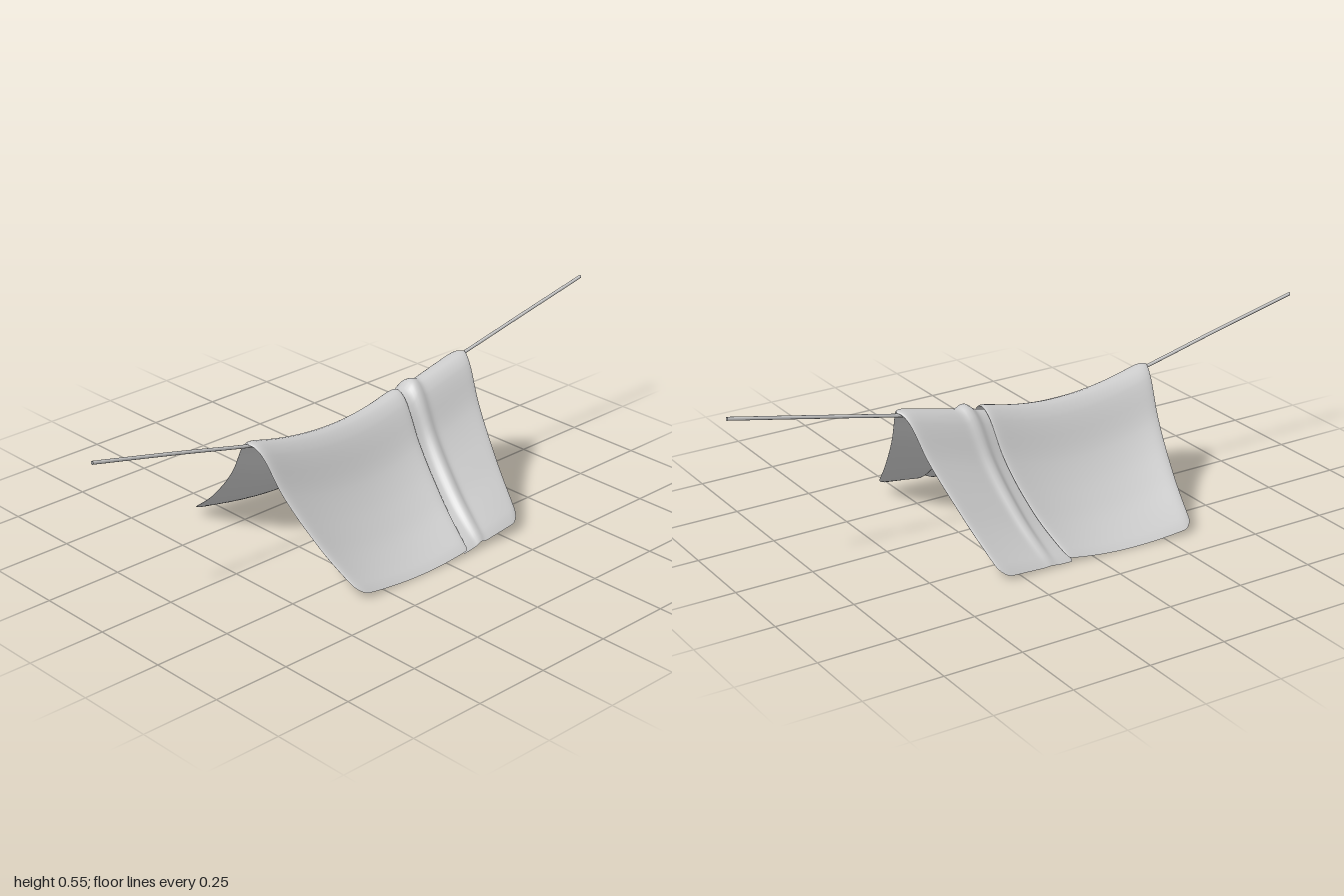
import * as THREE from 'three';

const V = (x, y, z = 0) => new THREE.Vector3(x, y, z);
const material = new THREE.MeshStandardMaterial({ color: 0xcccccc, side: THREE.DoubleSide });
const HEM = 0.37;

// Half cross-section of the hanging cloth, from ridge to hem
const drape = new THREE.CatmullRomCurve3([
  V(0, 0.365), V(0.018, 0.357), V(0.045, 0.328), V(0.1, 0.228), V(0.15, 0.163),
  V(0.2, 0.112), V(0.25, 0.07), V(0.31, 0.034), V(HEM, 0.007),
]);

const mix = THREE.MathUtils.lerp;

// Closed thin cloth; each end runs from a ridge z to a hem z
function cloth(name, o) {
  const nu = 64, nv = 56, half = 0.005;

  // Middle surface: s runs across (-1..1), v runs from front to back (0..1)
  const point = (s, v) => {
    const ridgeZ = mix(o.front[0], o.back[0], v);
    const eFront = o.front[0] - ridgeZ, eBack = ridgeZ - o.back[0];
    // Rounded corners shorten the cloth near its ends
    const pull = (e, r) => (e < r ? r - Math.sqrt(r * r - (r - e) ** 2) : 0);
    const trim = pull(eFront, o.corner[0]) + pull(eBack, o.corner[1]);
    const a = Math.min(1, Math.abs(s) * (1 - trim * 1.5));
    const p = drape.getPoint(a);
    const u = p.x / HEM;
    const z = mix(mix(o.front[0], o.front[1], u ** o.bend[0]),
      mix(o.back[0], o.back[1], u ** o.bend[1]), v);
    const hem = s < 0 ? o.left(z) : o.right(z);
    const fade = 1 + 0.3 * Math.sin(Math.PI * u) - (s < 0 ? o.fadeLeft : 0.6) * u * u;
    const curl = 0.01 * Math.exp(-eFront / 0.012) * o.curl[0]
      + 0.01 * Math.exp(-eBack / 0.012) * o.curl[1];
    const y = p.y + o.lift(ridgeZ) * fade - curl * (1 - u * 0.8);
    return V(Math.sign(s) * u * hem, y, z);
  };

  const positions = [], index = [];
  const ease = (k, n) => (1 - Math.cos(Math.PI * k / n)) / 2;
  for (const side of [1, -1]) {
    const base = positions.length / 3;
    for (let j = 0; j <= nv; j++) {
      for (let i = 0; i <= nu; i++) {
        const s = 2 * i / nu - 1, v = ease(j, nv), d = 0.004;
        const p = point(s, v);
        const across = point(Math.min(1, s + d), v).sub(point(Math.max(-1, s - d), v));
        const along = point(s, Math.min(1, v + d)).sub(point(s, Math.max(0, v - d)));
        const n = across.cross(along).normalize();
        if (n.y < 0) n.negate();
        // Thickness closes to nothing at every edge
        const h = half * Math.sqrt(Math.max(0, (1 - s ** 24) * (1 - Math.abs(2 * v - 1) ** 24)));
        p.addScaledVector(n, side * h);
        positions.push(p.x, p.y, p.z);
        if (i < nu && j < nv) {
          const a = base + j * (nu + 1) + i, b = a + 1, c = a + nu + 1, e = c + 1;
          if (side > 0) index.push(a, b, c, b, e, c);
          else index.push(a, c, b, b, c, e);
        }
      }
    }
  }
  const g = new THREE.BufferGeometry();
  g.setAttribute('position', new THREE.Float32BufferAttribute(positions, 3));
  g.setIndex(index);
  g.computeVertexNormals();
  const mesh = new THREE.Mesh(g, material);
  mesh.name = name;
  return mesh;
}

export function createModel() {
  const group = new THREE.Group();
  group.name = 'clothOnLine';

  // Sagging line carrying the cloths
  const line = new THREE.CatmullRomCurve3([
    V(-0.004, 0.537, 1), V(-0.004, 0.468, 0.7), V(-0.004, 0.403, 0.43), V(-0.004, 0.366, 0.25),
    V(-0.004, 0.352, 0.1), V(-0.004, 0.365, -0.05), V(-0.004, 0.388, -0.2),
    V(-0.004, 0.437, -0.45), V(-0.004, 0.493, -0.72), V(-0.004, 0.55, -1),
  ]);
  const rope = new THREE.Mesh(new THREE.TubeGeometry(line, 80, 0.0055, 10), material);
  rope.name = 'rope';
  group.add(rope);
  for (const t of [0, 1]) {
    const cap = new THREE.Mesh(new THREE.CircleGeometry(0.0055, 10), material);
    cap.position.copy(line.getPoint(t));
    cap.rotation.y = t * Math.PI;
    cap.name = 'ropeEnd';
    group.add(cap);
  }

  // Large cloth, its back edge lying over the smaller one
  group.add(cloth('frontCloth', {
    front: [0.442, 0.345], back: [-0.165, -0.085],
    corner: [0.045, 0.015], bend: [0.85, 1.3], curl: [0.8, 0.3], fadeLeft: 0.6,
    left: z => 0.365 + 0.075 * z,
    right: z => 0.386 - 0.03 * z,
    lift: z => (z > 0.1 ? 0.45 : 0.57) * (z - 0.1) ** 2,
  }));

  // Small cloth with a raised fold just behind the overlap
  group.add(cloth('backCloth', {
    front: [-0.115, -0.07], back: [-0.457, -0.315],
    corner: [0.015, 0.045], bend: [1.3, 0.9], curl: [0, 0.6], fadeLeft: 0.85,
    left: () => 0.36,
    right: () => 0.384,
    lift: z => 0.022 + 0.217 * (-0.165 - z) + 0.017 * Math.exp(-(((z + 0.222) / 0.02) ** 2)),
  }));

  return group;
}
